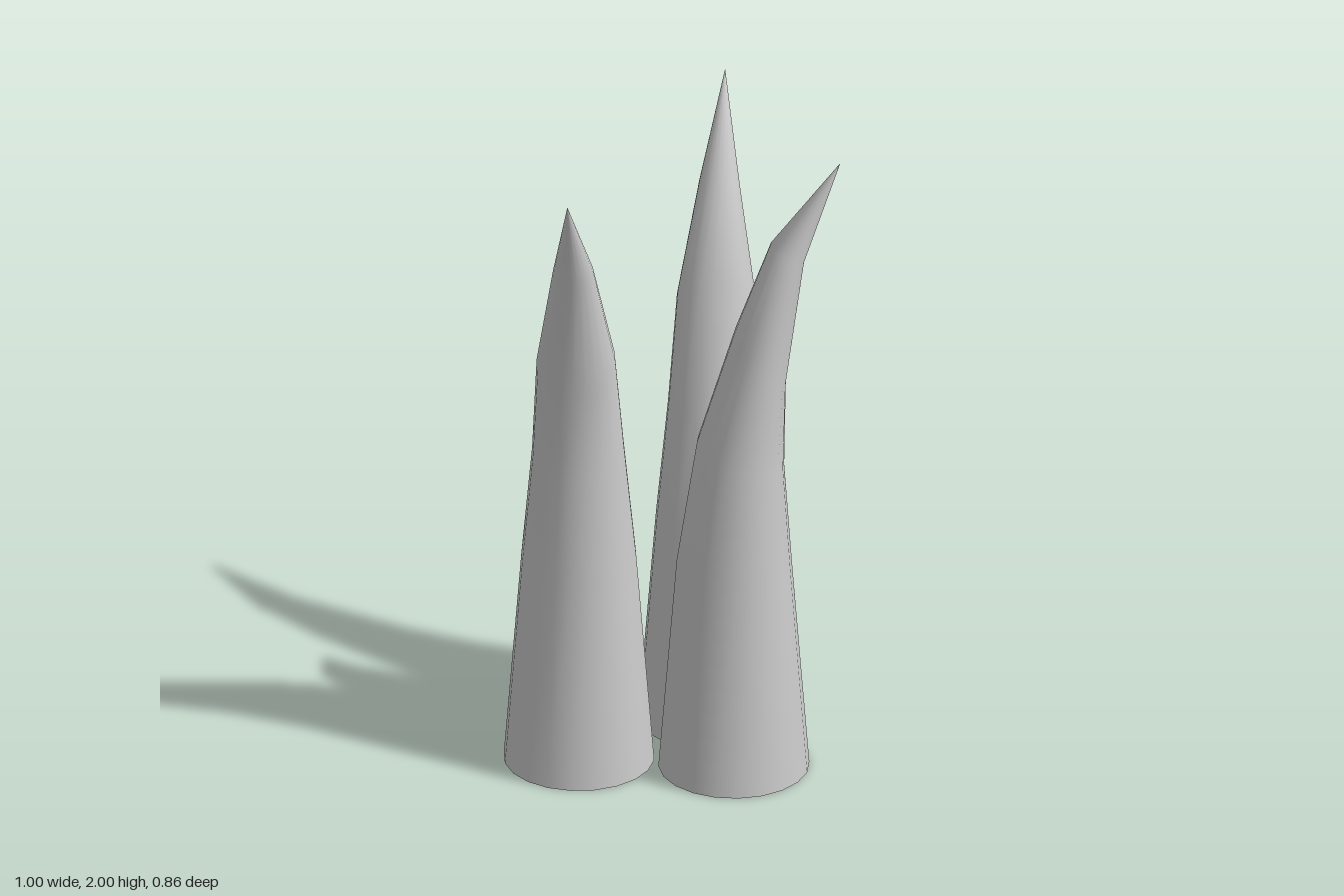
import * as THREE from 'three';

const SIDES = 20;

// Tilted rings of one horn bending toward +x:
// [inner x, inner y, outer x, outer y, half width across the bend]
const RINGS = [
  [-0.225, 0, 0.225, 0, 0.225],
  [-0.17, 0.69, 0.174, 0.66, 0.172],
  [-0.11, 1.08, 0.15, 1.0, 0.138],
  [0.005, 1.45, 0.155, 1.28, 0.118],
  [0.11, 1.735, 0.21, 1.68, 0.06],
  [0.316, 2, 0.317, 2, 0.0005],
];

// Open-bottomed horn skinned through the rings, smooth all round
function hornGeometry() {
  const positions = [];
  const indices = [];
  RINGS.forEach(([x0, y0, x1, y1, w], r) => {
    for (let i = 0; i < SIDES; i++) {
      const a = (i / SIDES) * Math.PI * 2;
      const t = (1 + Math.cos(a)) / 2;
      positions.push(x0 + (x1 - x0) * t, y0 + (y1 - y0) * t, Math.sin(a) * w);
      if (r === 0) continue;
      const j = (i + 1) % SIDES;
      const lo = (r - 1) * SIDES;
      const hi = r * SIDES;
      indices.push(lo + i, hi + i, lo + j, lo + j, hi + i, hi + j);
    }
  });
  const geometry = new THREE.BufferGeometry();
  geometry.setAttribute('position', new THREE.Float32BufferAttribute(positions, 3));
  geometry.setIndex(indices);
  geometry.computeVertexNormals();
  return geometry;
}

export function createModel() {
  const model = new THREE.Group();
  model.name = 'hornCluster';
  const geometry = hornGeometry();
  const material = new THREE.MeshStandardMaterial({ color: 0xcccccc, side: THREE.DoubleSide });

  // Same horn three times, each leaning its own way: name, x, z, turn in degrees
  const horns = [
    ['frontLeftHorn', 0.181, 0.196, 0],
    ['rightHorn', -0.275, 0.117, -100],
    ['backLeftHorn', 0.141, -0.12, 80],
  ];
  for (const [name, x, z, turn] of horns) {
    const horn = new THREE.Mesh(geometry, material);
    horn.name = name;
    horn.position.set(x, 0, z);
    horn.rotation.y = THREE.MathUtils.degToRad(turn);
    model.add(horn);
  }
  return model;
}
